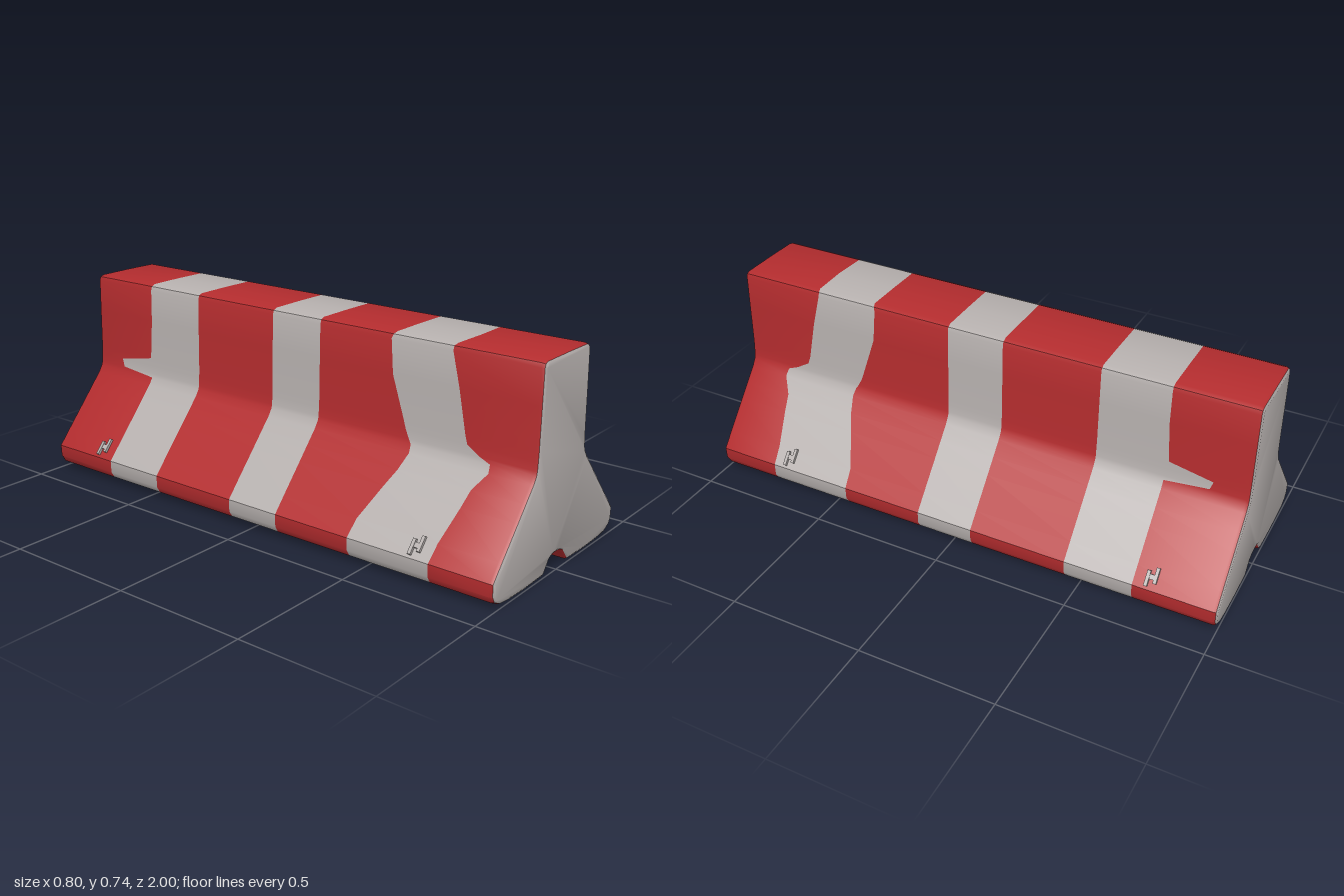
import * as THREE from 'three';
import { toCreasedNormals } from 'three/addons/utils/BufferGeometryUtils.js';

const red = new THREE.MeshStandardMaterial({ color: 0xb32c2e });
red.name = 'red paint';
const grey = new THREE.MeshStandardMaterial({ color: 0xb6b0ae });
grey.name = 'pale concrete';

// Half profile from bottom centre to top centre:
// x, y, then the wavy stripe edges: front stripe (front, rear) and back stripe (rear)
const HALF = [
  [0, 0.06, 0.76, 0.44, -0.70],
  [0.025, 0.058, 0.76, 0.44, -0.70],
  [0.045, 0.05, 0.76, 0.44, -0.70],
  [0.083, 0.004, 0.76, 0.44, -0.70],
  [0.2, 0, 0.76, 0.44, -0.70],
  [0.3, 0.003, 0.76, 0.44, -0.70],
  [0.35, 0.009, 0.76, 0.44, -0.70],
  [0.385, 0.026, 0.76, 0.44, -0.70],
  [0.399, 0.05, 0.76, 0.44, -0.70],
  [0.4, 0.095, 0.76, 0.44, -0.70],
  [0.353, 0.15, 0.765, 0.445, -0.70],
  [0.266, 0.25, 0.79, 0.49, -0.70],
  [0.223, 0.3, 0.80, 0.515, -0.70],
  [0.18, 0.35, 0.835, 0.53, -0.70],
  [0.164, 0.375, 0.83, 0.525, -0.70],
  [0.16, 0.39, 0.79, 0.515, -0.86],
  [0.158, 0.42, 0.74, 0.50, -0.87],
  [0.156, 0.45, 0.73, 0.49, -0.71],
  [0.153, 0.6, 0.70, 0.44, -0.70],
  [0.15, 0.72, 0.67, 0.43, -0.70],
  [0.145, 0.735, 0.67, 0.435, -0.70],
  [0.13, 0.742, 0.675, 0.44, -0.70],
  [0, 0.743, 0.68, 0.44, -0.70],
];
const PROFILE = [
  ...HALF,
  ...HALF.slice(1, -1).reverse().map(([x, ...rest]) => [-x, ...rest]),
];

// Profile moved inwards, for the rounded end edges
function inset(amount) {
  const n = PROFILE.length;
  return PROFILE.map(([x, y], i) => {
    const [ax, ay] = PROFILE[(i + n - 1) % n];
    const [bx, by] = PROFILE[(i + 1) % n];
    const len = Math.hypot(bx - ax, by - ay);
    return new THREE.Vector2(x - (by - ay) / len * amount, y + (bx - ax) / len * amount);
  });
}

function bodyGeometry() {
  const full = inset(0), rim = inset(0.004), end = inset(0.012);
  const at = (outline, zOf) => outline.map((p, i) => new THREE.Vector3(p.x, p.y, zOf(PROFILE[i])));
  // Cross-sections from back to front; each stripe edge is one section
  const rings = [
    at(end, () => -1), at(rim, () => -0.995), at(full, () => -0.985),
    at(full, p => p[4]), at(full, () => -0.45), at(full, () => -0.085),
    at(full, () => 0.13), at(full, p => p[3]), at(full, p => p[2]),
    at(full, () => 0.985), at(rim, () => 0.995), at(end, () => 1),
  ];
  const bandIsGrey = [1, 0, 0, 1, 0, 1, 0, 1, 0, 0, 1];
  const redPoints = [], greyPoints = [];

  bandIsGrey.forEach((isGrey, k) => {
    const out = isGrey ? greyPoints : redPoints;
    for (let i = 0; i < PROFILE.length; i++) {
      const j = (i + 1) % PROFILE.length;
      const a = rings[k][i], b = rings[k][j], c = rings[k + 1][j], d = rings[k + 1][i];
      out.push(a, b, c, a, c, d);
    }
  });

  // Flat end faces
  const back = rings[0], front = rings[rings.length - 1];
  for (const [a, b, c] of THREE.ShapeUtils.triangulateShape(end, [])) {
    greyPoints.push(front[a], front[b], front[c], back[c], back[b], back[a]);
  }

  const geometry = new THREE.BufferGeometry().setFromPoints([...redPoints, ...greyPoints]);
  geometry.addGroup(0, redPoints.length, 0);
  geometry.addGroup(redPoints.length, greyPoints.length, 1);
  return toCreasedNormals(geometry, 0.6);
}

// Small H-shaped lifting lug lying on the sloped foot
function liftingLug(side, z) {
  const lug = new THREE.Group();
  lug.name = 'liftingLug';
  const box = (w, h, d, x, zz) => {
    const mesh = new THREE.Mesh(new THREE.BoxGeometry(w, h, d), grey);
    mesh.position.set(x, 0.002, zz);
    mesh.name = 'lugBar';
    lug.add(mesh);
  };
  for (const s of [-1, 1]) box(0.055, 0.016, 0.012, s * 0.008, s * 0.014);
  box(0.018, 0.012, 0.03, 0, 0);
  lug.position.set(side * 0.37, 0.13, z);
  lug.rotation.z = -side * 0.857;
  return lug;
}

export function createModel() {
  const model = new THREE.Group();
  model.name = 'roadBarrier';

  const body = new THREE.Mesh(bodyGeometry(), [red, grey]);
  body.name = 'stripedBarrierBody';
  model.add(body);

  for (const side of [-1, 1]) {
    for (const z of [0.7, -0.76]) model.add(liftingLug(side, z));
  }
  return model;
}
